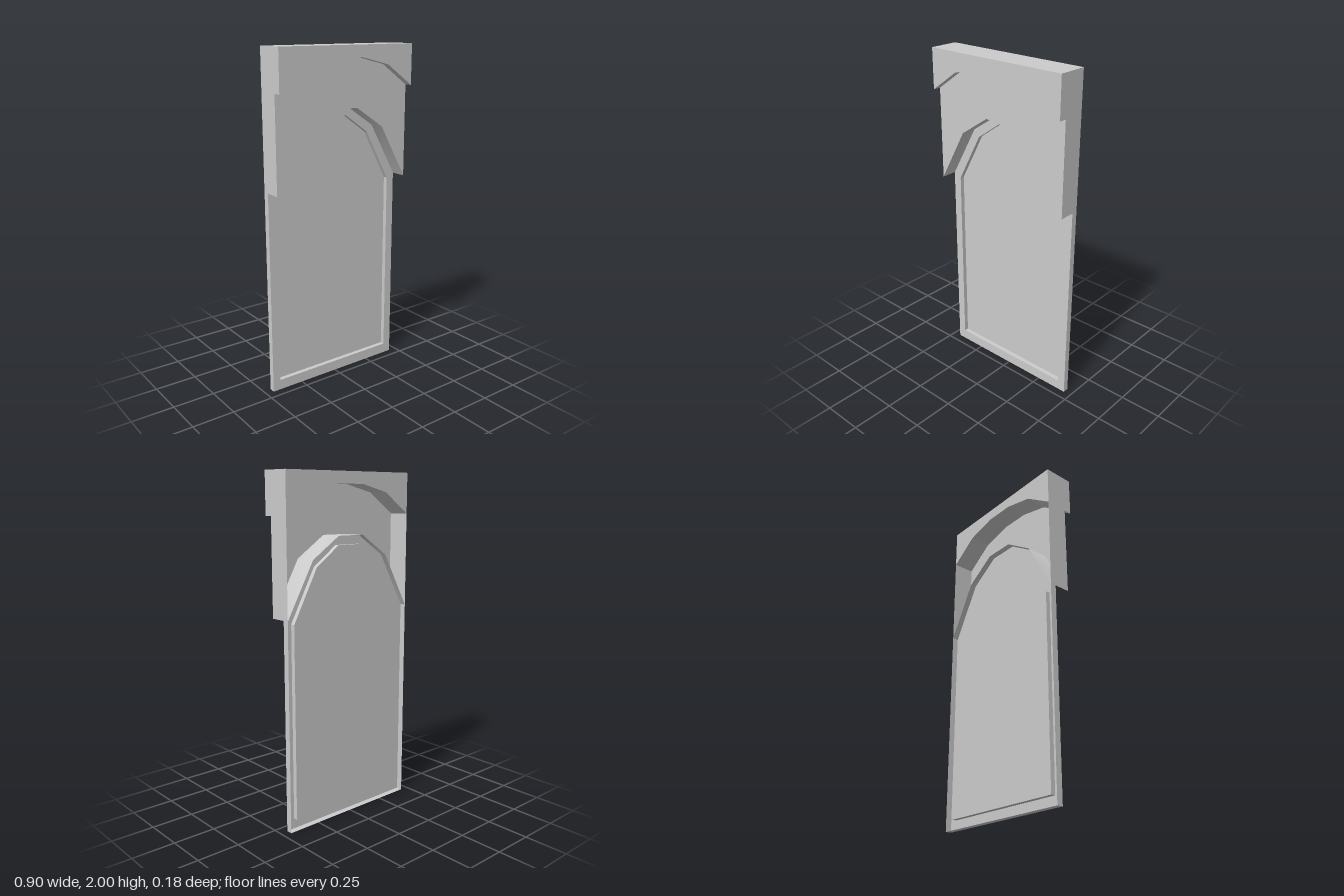
import * as THREE from 'three';

const W = 0.452;
const BACK = -0.089, FRONT = 0.089;   // full depth
const SPANDREL = 0.042;               // face of the spandrel between the arches
const FRAME = -0.053, PANEL = -0.08;  // door frame face and recessed panel

const mat = new THREE.MeshStandardMaterial({ color: 0xcccccc, side: THREE.DoubleSide });

// Full arch, left to right, from the points of its +x half
const arch = half => [
  ...half.map(([x, y]) => [-x, y]),
  ...half.slice().reverse(),
];
const toShape = pts => new THREE.Shape(pts.map(([x, y]) => new THREE.Vector2(x, y)));

// Strip that sweeps an outline from z0 to z1
function ribbon(pts, z0, z1, { closed = false, smooth = false } = {}) {
  const path = closed ? [...pts, pts[0]] : pts;
  const pos = [], idx = [];
  path.forEach(([x, y], i) => {
    pos.push(x, y, z0, x, y, z1);
    if (i) {
      const a = 2 * i - 2;
      idx.push(a, a + 1, a + 2, a + 1, a + 3, a + 2);
    }
  });
  let geo = new THREE.BufferGeometry();
  geo.setAttribute('position', new THREE.Float32BufferAttribute(pos, 3));
  geo.setIndex(idx);
  if (!smooth) geo = geo.toNonIndexed();
  geo.computeVertexNormals();
  return geo;
}

export function createModel() {
  const group = new THREE.Group();
  const add = (name, geo, z = 0) => {
    const mesh = new THREE.Mesh(geo, mat);
    mesh.name = name;
    mesh.position.z = z;
    group.add(mesh);
  };

  const upperArch = arch([[W, 1.763], [0.275, 1.887], [0.09, 1.932]]);
  const lowerArch = arch([[W, 1.215], [0.275, 1.53], [0.09, 1.652]]);
  const innerArch = arch([[0.402, 1.19], [0.24, 1.49], [0.083, 1.6]]);

  // Solid lintel with an arched underside
  add('lintel', new THREE.ExtrudeGeometry(
    toShape([...upperArch, [W, 2], [-W, 2]]),
    { depth: FRONT - BACK, bevelEnabled: false }), BACK);

  // Hollow spandrel: face sheet, side walls and arch soffit, open at the back
  add('spandrelFace', new THREE.ShapeGeometry(
    toShape([...lowerArch, ...upperArch.slice().reverse()])), SPANDREL);
  for (const s of [-1, 1]) {
    const wall = [[s * W, 1.215], [s * W, 1.763]];
    add(s > 0 ? 'leftSpandrelSide' : 'rightSpandrelSide',
      ribbon(s > 0 ? wall.reverse() : wall, BACK, SPANDREL));
  }
  add('archSoffit', ribbon(lowerArch, BACK, SPANDREL, { smooth: true }));

  // Door frame: face with an arched opening and a thin outer rim
  const opening = [[-0.402, 0.062], ...innerArch, [0.402, 0.062]];
  const frame = toShape([[-W, 0], ...lowerArch, [W, 0]]);
  frame.holes.push(toShape(opening));
  add('frameFace', new THREE.ShapeGeometry(frame), FRAME);
  add('frameRim', ribbon(
    [lowerArch.at(-1), [W, 0], [-W, 0], lowerArch[0]], BACK, FRAME));

  // Recessed door panel and the walls leading back to it
  add('panelReveal', ribbon(opening, FRAME, PANEL, { closed: true }));
  add('doorPanel', new THREE.ShapeGeometry(toShape(opening)), PANEL);

  return group;
}
